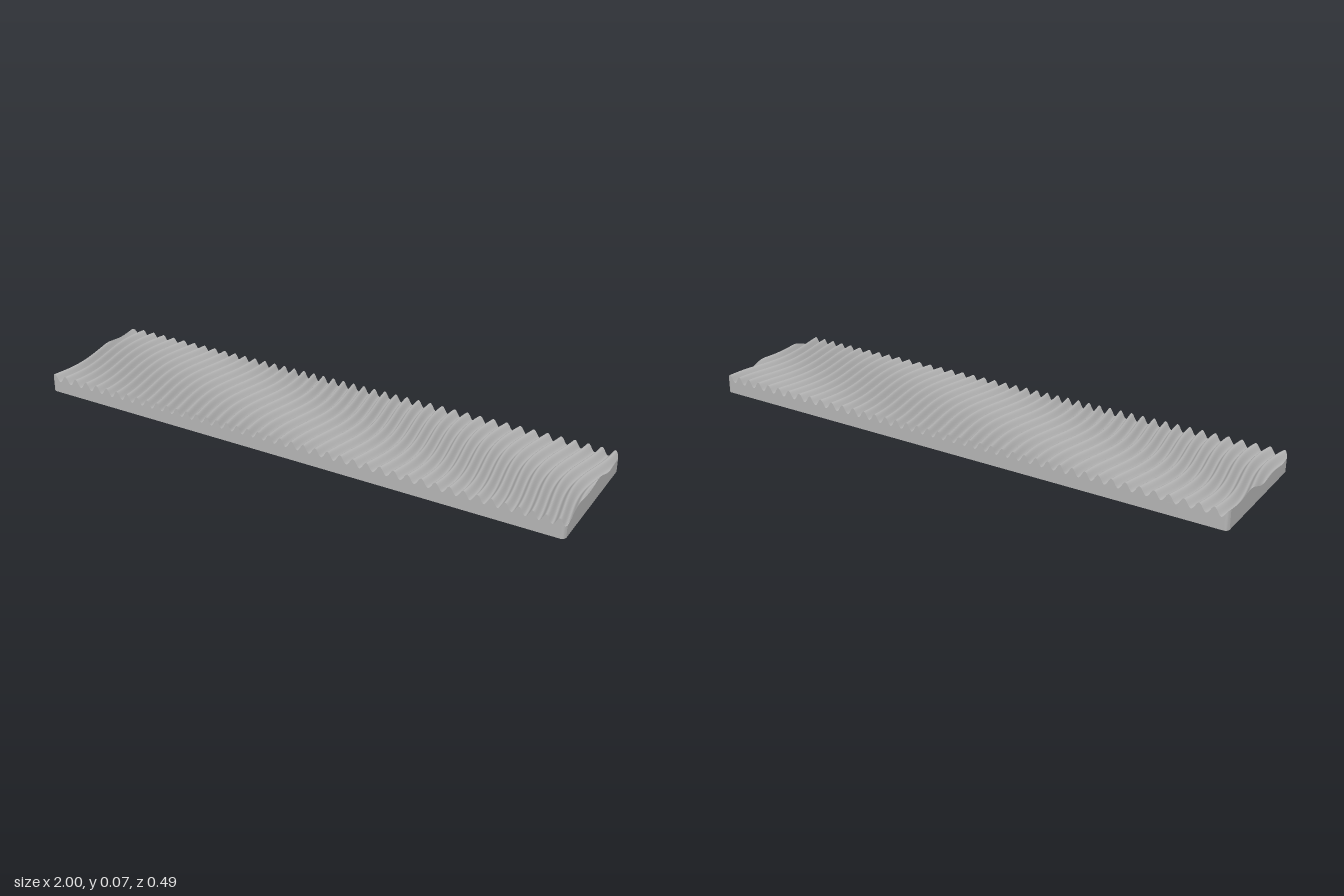
import * as THREE from 'three';

const HALF_X = 1, HALF_Z = 0.245, CORNER = 0.014;
const VALLEY = 0.043, PEAK = 0.07, PITCH = 2 / 44;
const NX = 616, NZ = 56;

// Sideways sway of the ridges, forming diagonal bands across the slab
function sway(x, z) {
  const band = (x + 0.05) / 2.6 - 0.5;
  return -0.019 * Math.sin((2 * Math.PI * (z - band)) / 0.56);
}

// Height of the rippled surface
function height(x, z) {
  const phase = (x - sway(x, z) - 1.011) / PITCH;
  const wave = 0.5 + 0.5 * Math.cos(2 * Math.PI * phase);
  return VALLEY + (PEAK - VALLEY) * wave;
}

// Half depth at x, narrowing at the ends for rounded vertical corners
function halfDepth(x) {
  const t = Math.max(0, Math.abs(x) - (HALF_X - CORNER));
  return HALF_Z - CORNER + Math.sqrt(Math.max(0, CORNER * CORNER - t * t));
}

// Grid surface from fn(u, v) with u and v in 0..1; it faces dv x du
function sheet(name, material, nu, nv, fn) {
  const positions = [], index = [];
  for (let i = 0; i <= nu; i++) {
    for (let j = 0; j <= nv; j++) positions.push(...fn(i / nu, j / nv));
  }
  for (let i = 0; i < nu; i++) {
    for (let j = 0; j < nv; j++) {
      const a = i * (nv + 1) + j, b = a + 1, c = a + nv + 1, d = c + 1;
      index.push(a, b, c, b, d, c);
    }
  }
  const geometry = new THREE.BufferGeometry();
  geometry.setAttribute('position', new THREE.Float32BufferAttribute(positions, 3));
  geometry.setIndex(index);
  geometry.computeVertexNormals();
  const mesh = new THREE.Mesh(geometry, material);
  mesh.name = name;
  return mesh;
}

export function createModel() {
  const group = new THREE.Group();
  group.name = 'rippledSlab';
  const grey = new THREE.MeshStandardMaterial({ color: 0xb4b4b4 });
  grey.name = 'plain grey';

  // Rippled top
  group.add(sheet('rippledTop', grey, NX, NZ, (u, v) => {
    const x = 2 * u - 1, z = (2 * v - 1) * halfDepth(x);
    return [x, height(x, z), z];
  }));

  // Flat underside
  group.add(sheet('underside', grey, NX, 1, (u, v) => {
    const x = 1 - 2 * u;
    return [x, 0, (2 * v - 1) * halfDepth(x)];
  }));

  // Long walls and end walls, each following the ripples along its top edge
  for (const side of [1, -1]) {
    group.add(sheet(side > 0 ? 'frontWall' : 'backWall', grey, NX, 1, (u, v) => {
      const x = side * (1 - 2 * u), z = side * halfDepth(x);
      return [x, v * height(x, z), z];
    }));
    group.add(sheet(side > 0 ? 'leftEnd' : 'rightEnd', grey, NZ, 1, (u, v) => {
      const x = side * HALF_X, z = side * (2 * u - 1) * halfDepth(x);
      return [x, v * height(x, z), z];
    }));
  }
  return group;
}
